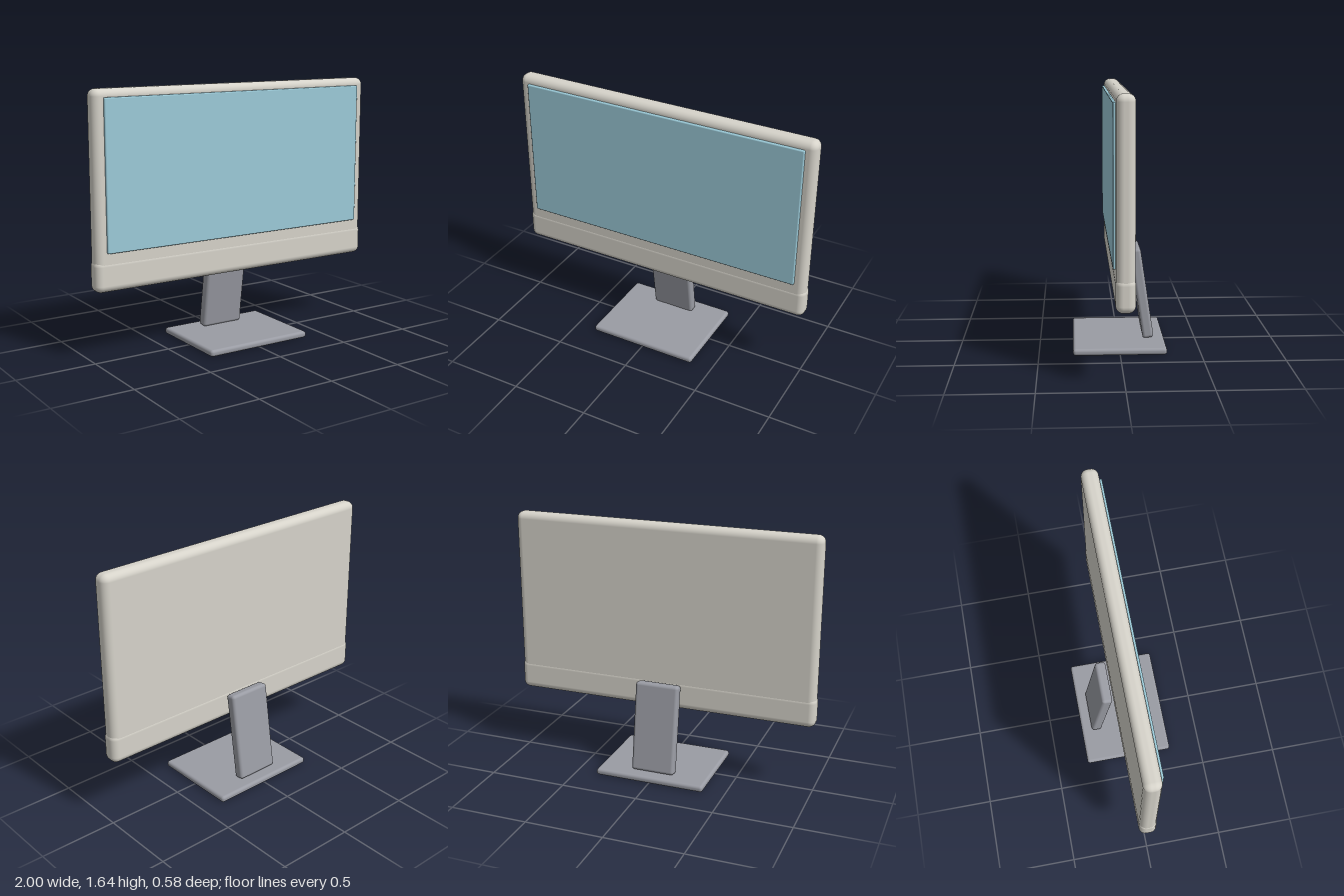
import * as THREE from 'three';
import { RoundedBoxGeometry } from 'three/addons/geometries/RoundedBoxGeometry.js';

const mat = (name, color) => {
  const m = new THREE.MeshStandardMaterial({ color });
  m.name = name;
  return m;
};

export function createModel() {
  const group = new THREE.Group();
  group.name = 'desktopComputer';
  const shell = mat('warm grey shell', 0xd6d3ca);
  const glass = mat('pale blue screen', 0x9ccbd9);
  const metal = mat('grey stand', 0x9a9ca4);

  // Rounded box given by full size, corner radius and centre
  const box = (name, material, [w, h, d], radius, [x, y, z]) => {
    const mesh = new THREE.Mesh(new RoundedBoxGeometry(w, h, d, 4, radius), material);
    mesh.name = name;
    mesh.position.set(x, y, z);
    group.add(mesh);
    return mesh;
  };

  // Display housing with a very slightly larger chin wrapped round its lower edge
  box('housing', shell, [1.992, 1.19, 0.108], 0.044, [0, 1.042, 0]);
  box('chin', shell, [2, 0.2, 0.112], 0.042, [0, 0.538, 0]);

  // Raised screen pane
  box('screen', glass, [1.86, 0.912, 0.03], 0.008, [0, 1.132, 0.054]);

  // Leaning neck and flat foot
  const neck = box('neck', metal, [0.286, 0.584, 0.07], 0.02, [0, 0.331, -0.146]);
  neck.rotation.x = 0.148;
  box('foot', metal, [0.724, 0.042, 0.58], 0.018, [0, 0.021, 0]);

  return group;
}
